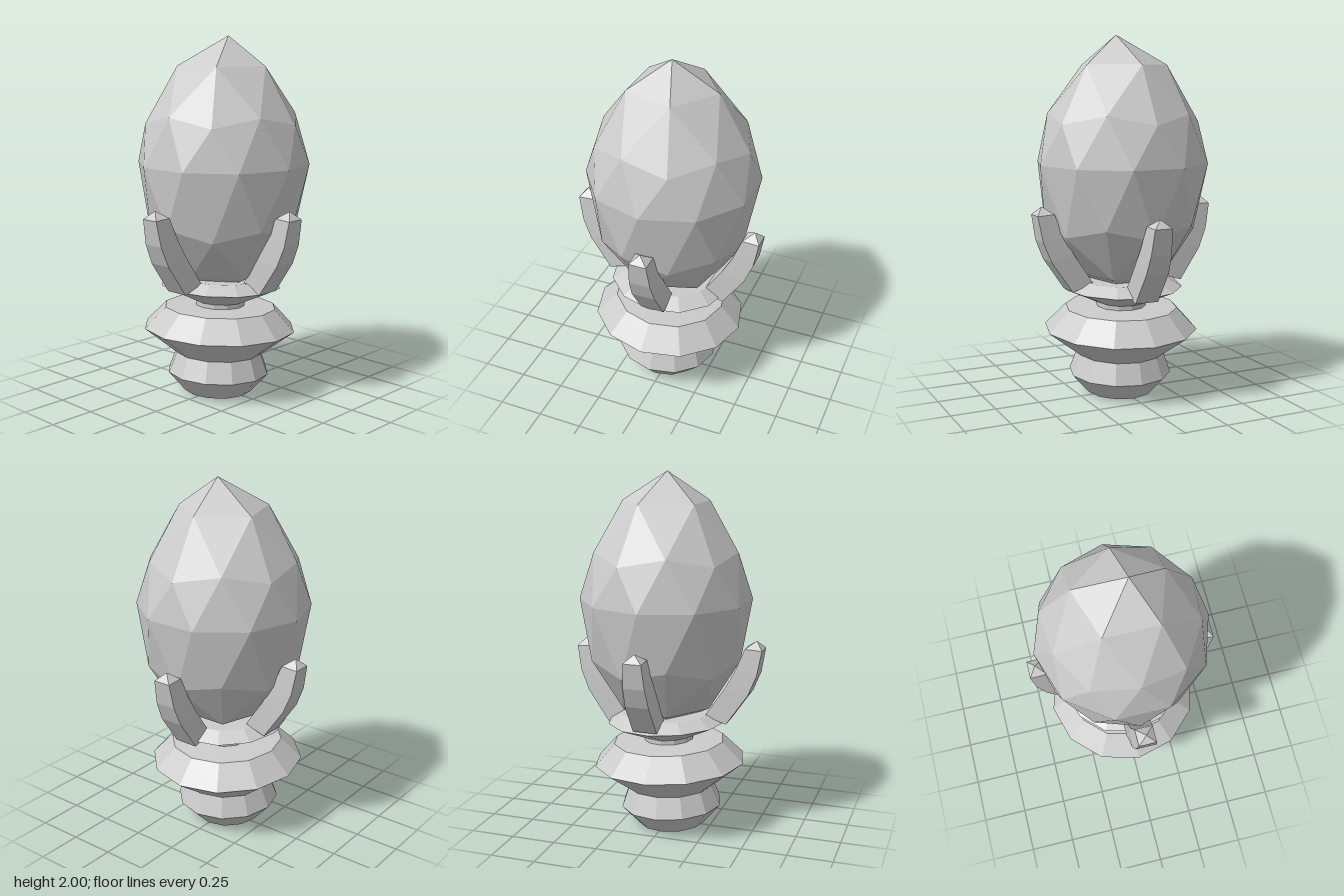
import * as THREE from 'three';

const grey = () => new THREE.MeshStandardMaterial({ color: 0xcccccc, flatShading: true, side: THREE.DoubleSide });

// Faceted egg: pole-aligned icosphere, stretched to a point at the top
function budGeometry() {
  const v = [0, 1, 0], f = [];
  const ring = (y, offset) => {
    for (let k = 0; k < 5; k++) {
      const a = (k * 72 + offset) * Math.PI / 180;
      v.push(0.8944 * Math.cos(a), y, 0.8944 * Math.sin(a));
    }
  };
  ring(0.4472, 0);
  ring(-0.4472, 36);
  v.push(0, -1, 0);
  for (let k = 0; k < 5; k++) {
    const n = (k + 1) % 5, u = 1 + k, u2 = 1 + n, l = 6 + k, l2 = 6 + n;
    f.push(0, u2, u, u, u2, l, l, u2, l2, 11, l, l2);
  }
  const geo = new THREE.PolyhedronGeometry(v, f, 1, 1);
  const p = geo.attributes.position;
  for (let i = 0; i < p.count; i++) {
    const t = p.getY(i);
    const y = t > 0 ? 0.45 * t + 0.24 * t ** 3 : 0.72 * t;
    const apex = t > 0.99 ? 1 : 0;
    p.setXYZ(i, 0.477 * p.getX(i) + 0.015 + 0.005 * apex, 1.31 + y, 0.477 * p.getZ(i) + 0.005 + 0.035 * apex);
  }
  geo.computeVertexNormals();
  return geo;
}

// Curved prong growing along +z, lofted from four-cornered sections with a pointed tip
function prongGeometry() {
  // outer z, outer y, inner z, inner y, half width
  const sections = [
    [0.34, 0.615, 0.22, 0.655, 0.068],
    [0.46, 0.79, 0.33, 0.82, 0.066],
    [0.505, 0.90, 0.385, 0.92, 0.06],
    [0.53, 1.04, 0.435, 1.045, 0.05],
  ];
  const pos = [], index = [];
  for (const [zo, yo, zi, yi, w] of sections) pos.push(w, yo, zo, -w, yo, zo, -w, yi, zi, w, yi, zi);
  pos.push(0, 1.085, 0.49);
  const top = sections.length - 1, tip = sections.length * 4;
  for (let s = 0; s <= top; s++) {
    for (let j = 0; j < 4; j++) {
      const a = s * 4 + j, b = s * 4 + (j + 1) % 4;
      if (s < top) index.push(a, a + 4, b, b, a + 4, b + 4);
      else index.push(a, tip, b);
    }
  }
  index.push(0, 1, 2, 0, 2, 3);
  const geo = new THREE.BufferGeometry();
  geo.setAttribute('position', new THREE.Float32BufferAttribute(pos, 3));
  geo.setIndex(index);
  const flat = geo.toNonIndexed();
  flat.computeVertexNormals();
  return flat;
}

function latheMesh(name, points) {
  const geo = new THREE.LatheGeometry(points.map(([r, y]) => new THREE.Vector2(r, y)), 12);
  const mesh = new THREE.Mesh(geo, grey());
  mesh.name = name;
  return mesh;
}

export function createModel() {
  const model = new THREE.Group();
  model.name = 'finial';

  const bud = new THREE.Mesh(budGeometry(), grey());
  bud.name = 'bud';
  model.add(bud);

  // Slightly leaning turned base, open underneath
  const base = new THREE.Group();
  base.name = 'base';
  const pivot = 0.45;
  base.position.set(-0.005, pivot, 0);
  base.rotation.z = -0.042;
  const turned = [
    latheMesh('pedestal', [[0.19, 0.01], [0.288, 0.12], [0.245, 0.235], [0.43, 0.378], [0.315, 0.498], [0.14, 0.505], [0.14, 0.535]]),
    latheMesh('saucer', [[0.14, 0.53], [0.34, 0.622], [0.26, 0.67], [0, 0.66]]),
  ];
  for (const part of turned) {
    part.position.y = -pivot;
    base.add(part);
  }
  model.add(base);

  // Four prongs around the bud: turn about y, offset
  const prong = prongGeometry();
  const places = [
    ['frontProng', 0, 0.025, 0.008, -0.008],
    ['leftProng', Math.PI / 2, 0.003, -0.028, 0.012],
    ['backProng', Math.PI, 0.025, 0.02, 0.01],
    ['rightProng', -Math.PI / 2, -0.01, 0.02, 0.012],
  ];
  for (const [name, turn, x, y, z] of places) {
    const mesh = new THREE.Mesh(prong, grey());
    mesh.name = name;
    mesh.rotation.y = turn;
    mesh.position.set(x, y, z);
    model.add(mesh);
  }
  return model;
}
